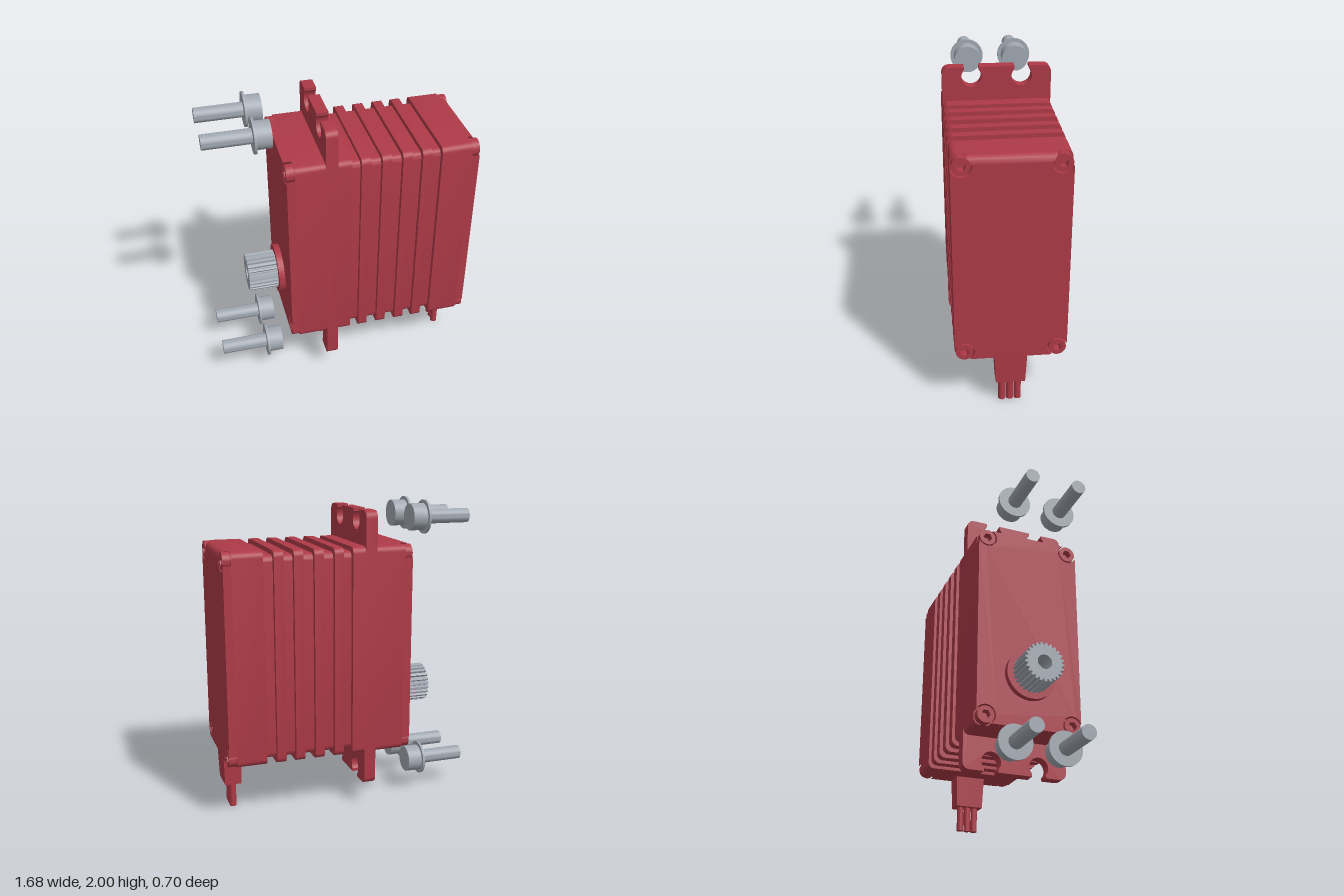
import * as THREE from 'three';
import { toCreasedNormals } from 'three/addons/utils/BufferGeometryUtils.js';

const HALF_Z = 0.3475, HALF_Y = 0.68, MID_Y = 1.055;
const END_BACK = -0.38, END_FRONT = 0.835, CAP = 0.05;
const BOLT_Z = 0.2875, BOLT_Y = 0.625;

const red = new THREE.MeshStandardMaterial({ color: 0xad3a47 });
red.name = 'red anodised case';
const steel = new THREE.MeshStandardMaterial({ color: 0xa2a9b2 });
steel.name = 'steel';

function arc(cx, cy, r, from, to, n) {
  const pts = [];
  for (let i = 0; i <= n; i++) {
    const a = THREE.MathUtils.degToRad(from + (to - from) * i / n);
    pts.push(new THREE.Vector2(cx + r * Math.cos(a), cy + r * Math.sin(a)));
  }
  return pts;
}

const mirror = (pts, sx, sy) => {
  const out = pts.map(p => new THREE.Vector2(p.x * sx, p.y * sy));
  return sx * sy < 0 ? out.reverse() : out;
};

// Closed outline made from one corner repeated in all four quadrants
const fourCorners = pts => new THREE.Shape([
  ...pts, ...mirror(pts, -1, 1), ...mirror(pts, -1, -1), ...mirror(pts, 1, -1)]);

const roundedOutline = (hz, hy, r) => fourCorners(arc(hz - r, hy - r, r, 0, 90, 6));

// Extrude a cross-section (z, y) along x from x0 to x1
function extrudeX(shape, x0, x1, steps = 1) {
  const g = new THREE.ExtrudeGeometry(shape, { depth: x1 - x0, bevelEnabled: false, curveSegments: 24, steps });
  g.rotateY(Math.PI / 2);
  g.translate(x0, 0, 0);
  return g;
}

function add(parent, name, geometry, material, x = 0, y = 0, z = 0, crease = 0.6) {
  const m = new THREE.Mesh(toCreasedNormals(geometry, crease), material);
  m.name = name;
  m.position.set(x, y, z);
  parent.add(m);
  return m;
}

// Cylinder lying along x
function rod(r, x0, x1, sides = 32) {
  const g = new THREE.CylinderGeometry(r, r, x1 - x0, sides);
  g.rotateZ(Math.PI / 2);
  g.translate((x0 + x1) / 2, 0, 0);
  return g;
}

function discWithHole(r, holeR, holeSides) {
  const s = new THREE.Shape().absarc(0, 0, r, 0, Math.PI * 2);
  s.holes.push(new THREE.Path(arc(0, 0, holeR, 0, -360 + 360 / holeSides, holeSides - 1)));
  return s;
}

function makeCase() {
  const g = new THREE.Group();
  g.name = 'case';
  // Core seen at the bottom of the cooling grooves
  add(g, 'grooveCore', extrudeX(roundedOutline(0.317, 0.65, 0.04), 0, 0.61), red, 0, MID_Y);
  // Full-size sections between the grooves
  const full = roundedOutline(HALF_Z, HALF_Y, 0.04);
  const spans = [[END_BACK + CAP, 0.02], [0.08, 0.14], [0.21, 0.27], [0.34, 0.40], [0.465, 0.525], [0.59, END_FRONT - CAP]];
  spans.forEach(([a, b], i) => add(g, 'caseSection' + (i + 1), extrudeX(full, a, b), red, 0, MID_Y));

  // End covers with the corners cut away around the bolts
  const cover = fourCorners(arc(BOLT_Z, BOLT_Y, 0.065, -22.6, -237.8, 14));
  add(g, 'outputCover', extrudeX(cover, END_BACK, END_BACK + CAP), red, 0, MID_Y);
  const rounded = extrudeX(cover, END_FRONT - CAP, END_FRONT, 8);
  const p = rounded.attributes.position, r = 0.045;
  for (let i = 0; i < p.count; i++) {
    const t = Math.max(0, p.getX(i) - (END_FRONT - r));
    const limit = HALF_Y - r + Math.sqrt(Math.max(0, r * r - t * t));
    p.setY(i, Math.min(p.getY(i), limit));
  }
  rounded.deleteAttribute('normal');
  add(g, 'rearCover', rounded, red, 0, MID_Y);

  // Socket bolts in all corners of both covers
  const bolt = discWithHole(0.055, 0.03, 6);
  for (const x of [END_BACK, END_FRONT - CAP])
    for (const sy of [-1, 1]) for (const sz of [-1, 1])
      add(g, 'coverBolt', extrudeX(bolt, x, x + CAP), red, 0, MID_Y + sy * BOLT_Y, sz * BOLT_Z);
  return g;
}

// Mounting plate with keyhole slots open at the top and bottom
function makeFlange() {
  const top = 0.9, neck = 0.047;
  const slot = z => [
    new THREE.Vector2(z + neck, top),
    ...arc(z, 0.835, 0.065, 43.7, -223.7, 24),
    new THREE.Vector2(z - neck, top)];
  const half = [
    ...arc(HALF_Z - 0.045, top - 0.045, 0.045, 0, 90, 6),
    ...slot(0.16), ...slot(-0.16),
    ...arc(-HALF_Z + 0.045, top - 0.045, 0.045, 90, 180, 6)];
  const shape = new THREE.Shape([...half, ...mirror(half, -1, -1)]);
  return extrudeX(shape, -0.14, -0.065);
}

// Splined output shaft with its collar
function makeShaft() {
  const g = new THREE.Group();
  g.name = 'outputShaft';
  g.position.y = 0.722;
  add(g, 'collar', rod(0.165, -0.42, -0.37, 48), red);
  const teeth = 25, pts = [];
  for (let i = 0; i < teeth; i++)
    for (const [f, r] of [[0, 0.112], [0.25, 0.112], [0.42, 0.128], [0.83, 0.128]]) {
      const a = (i + f) / teeth * Math.PI * 2;
      pts.push(new THREE.Vector2(r * Math.cos(a), r * Math.sin(a)));
    }
  const gear = new THREE.Shape(pts);
  gear.holes.push(new THREE.Path().absarc(0, 0, 0.047, 0, Math.PI * 2, true));
  add(g, 'spline', extrudeX(gear, -0.615, -0.41), steel, 0, 0, 0, 0.3);
  add(g, 'boreFloor', rod(0.05, -0.48, -0.41), steel);
  return g;
}

function makeMountingScrew(y, z) {
  const g = new THREE.Group();
  g.name = 'mountingScrew';
  g.position.set(0, y, z);
  add(g, 'screwShank', rod(0.047, -0.842, -0.535), steel);
  add(g, 'screwWasher', rod(0.11, -0.54, -0.525, 40), steel);
  add(g, 'screwHead', rod(0.087, -0.53, -0.43, 40), steel);
  return g;
}

// Tapered strain relief with three wires
function makeCable() {
  const g = new THREE.Group();
  g.name = 'cable';
  const boot = new THREE.BoxGeometry(0.124, 0.225, 0.206);
  const p = boot.attributes.position;
  for (let i = 0; i < p.count; i++) if (p.getY(i) < 0) {
    p.setX(i, p.getX(i) * 0.87);
    p.setZ(i, p.getZ(i) * 0.9);
  }
  boot.deleteAttribute('normal');
  add(g, 'strainRelief', boot, red, 0.765, 0.2775, 0);
  for (const z of [-0.05, 0, 0.05])
    add(g, 'wire', new THREE.CylinderGeometry(0.023, 0.023, 0.18, 20), red, 0.763, 0.09, z);
  return g;
}

export function createModel() {
  const model = new THREE.Group();
  model.name = 'servoMotor';
  model.add(makeCase(), makeShaft(), makeCable());
  add(model, 'mountingFlange', makeFlange(), red, 0, MID_Y);
  for (const y of [0.22, 1.89]) for (const z of [-0.16, 0.16]) model.add(makeMountingScrew(y, z));
  return model;
}
